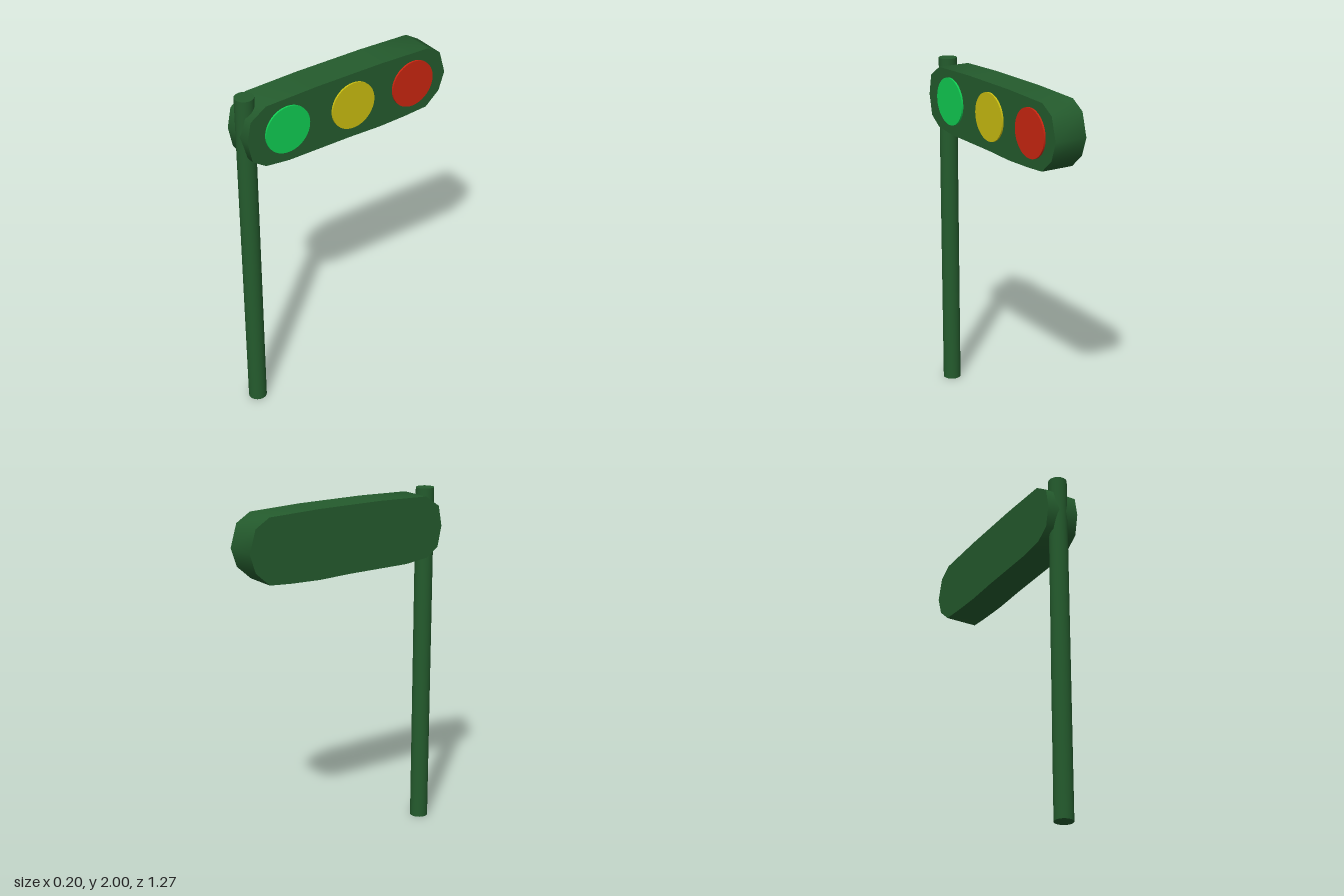
import * as THREE from 'three';
import { toCreasedNormals } from 'three/addons/utils/BufferGeometryUtils.js';

const GREEN_PAINT = 0x245b2d;

function part(name, geometry, color, x, y, z) {
  const mesh = new THREE.Mesh(geometry, new THREE.MeshStandardMaterial({ color }));
  mesh.name = name;
  mesh.position.set(x, y, z);
  return mesh;
}

export function createModel() {
  const group = new THREE.Group();
  group.name = 'trafficLight';

  // Upright pole
  group.add(part('pole', new THREE.CylinderGeometry(0.052, 0.052, 2, 32), GREEN_PAINT, -0.006, 1, 0.584));

  // Housing: slightly irregular side outline as [z, y], extruded across x
  const outline = [
    [0.632, 1.79], [0.61, 1.905], [0.517, 1.968], [0.204, 1.979], [-0.2, 1.981], [-0.512, 1.973],
    [-0.597, 1.922], [-0.635, 1.793], [-0.6, 1.688], [-0.515, 1.613], [-0.375, 1.603], [-0.2, 1.597],
    [0, 1.602], [0.385, 1.602], [0.528, 1.618], [0.607, 1.671],
  ];
  const shape = new THREE.Shape(outline.map(([z, y]) => new THREE.Vector2(-z, y)));
  const housing = new THREE.ExtrudeGeometry(shape, { depth: 0.19, bevelEnabled: false });
  housing.rotateY(Math.PI / 2);
  group.add(part('housing', toCreasedNormals(housing, 0.8), GREEN_PAINT, -0.1, 0, 0));

  // Three lamp discs standing just proud of the left face
  const lamps = [
    ['greenLamp', 0x10cc52, 0.393],
    ['yellowLamp', 0xc9bd10, -0.018],
    ['redLamp', 0xca2610, -0.411],
  ];
  for (const [name, color, z] of lamps) {
    const disc = new THREE.CylinderGeometry(0.135, 0.135, 0.04, 48).rotateZ(-Math.PI / 2);
    group.add(part(name, disc, color, 0.08, 1.794, z));
  }
  return group;
}
